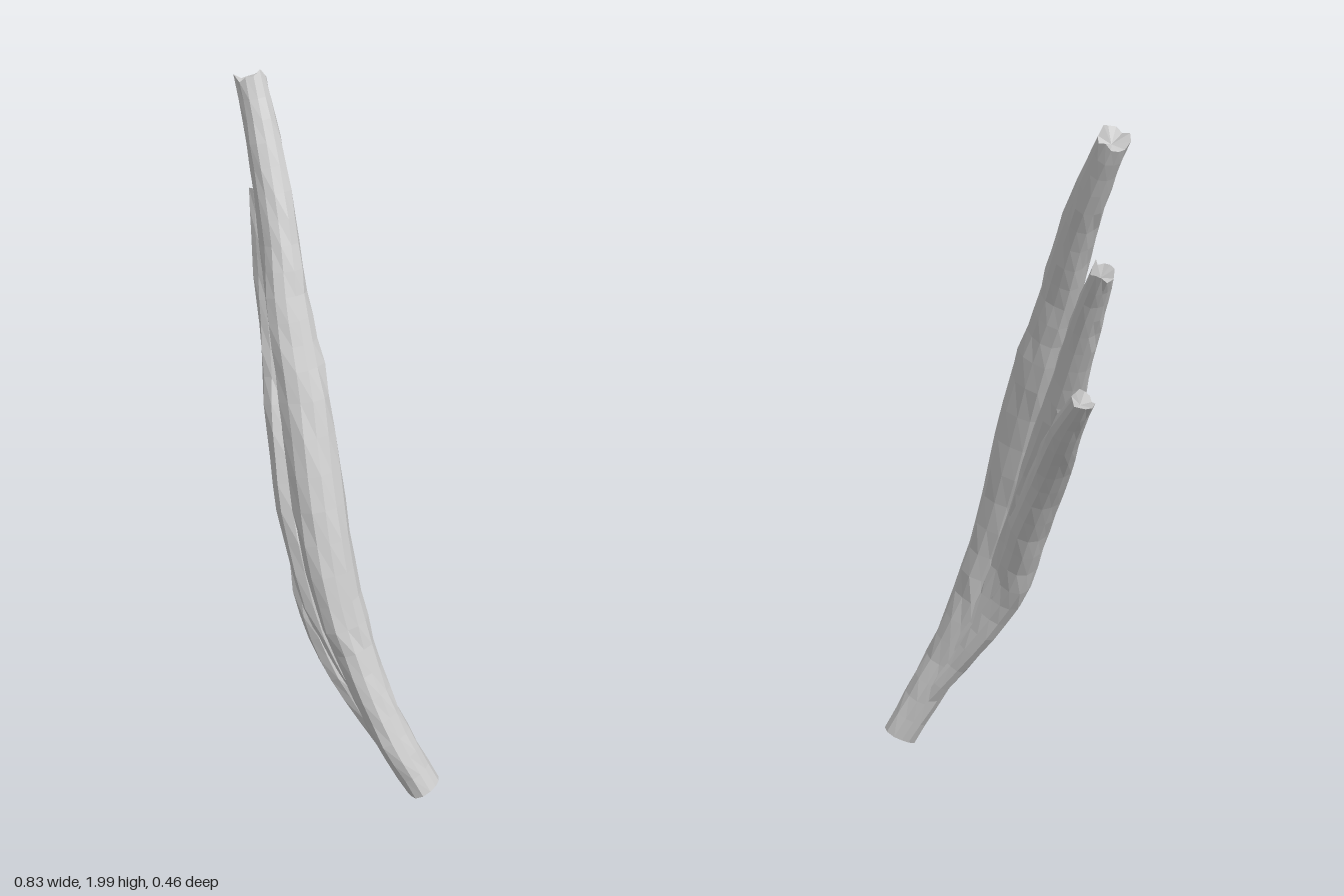
import * as THREE from 'three';

// Small repeatable hash in the range -1..1
const hash = (a, b, c) => {
  const s = Math.sin(a * 127.1 + b * 311.7 + c * 74.7) * 43758.5453;
  return (s - Math.floor(s)) * 2 - 1;
};

// Each limb: rows of [x, y, z, radius] from root to tip
const LIMBS = {
  mainStem: [
    [0.372, 0.033, 0.130, 0.045], [0.285, 0.2, 0.160, 0.051], [0.19, 0.4, 0.167, 0.058],
    [0.105, 0.62, 0.160, 0.067], [0.02, 0.9, 0.120, 0.073], [-0.07, 1.2, 0.052, 0.068],
    [-0.143, 1.4, 0.007, 0.058], [-0.212, 1.6, -0.055, 0.052], [-0.295, 1.8, -0.117, 0.050],
    [-0.372, 1.965, -0.166, 0.043],
  ],
  middleProng: [
    [0.27, 0.22, 0.162, 0.040], [0.09, 0.5, 0.158, 0.055], [-0.035, 0.78, 0.103, 0.062],
    [-0.12, 1.0, 0.035, 0.060], [-0.2, 1.22, -0.040, 0.050], [-0.275, 1.42, -0.112, 0.044],
    [-0.346, 1.58, -0.182, 0.034],
  ],
  lowerProng: [
    [0.31, 0.14, 0.152, 0.038], [0.17, 0.33, 0.163, 0.050], [0.06, 0.5, 0.152, 0.056],
    [-0.02, 0.70, 0.096, 0.058], [-0.118, 0.9, 0.005, 0.054], [-0.205, 1.07, -0.105, 0.046],
    [-0.292, 1.205, -0.196, 0.033],
  ],
};

const SIDES = 12;

// Sweep a knotty, ridged section along a limb, with torn hollow ends
function limbGeometry(rows, seed, rings) {
  const curve = new THREE.CatmullRomCurve3(rows.map((r) => new THREE.Vector3(r[0], r[1], r[2])));
  const positions = [];
  const index = [];
  const front = new THREE.Vector3(0, 0, 1);
  const last = rows.length - 1;

  for (let i = 0; i <= rings; i++) {
    const t = i / rings;
    const p = curve.getPoint(t);
    const dir = curve.getTangent(t).normalize();
    const u = new THREE.Vector3().crossVectors(dir, front).normalize();
    const v = new THREE.Vector3().crossVectors(u, dir).normalize();
    const k = Math.min(Math.floor(t * last), last - 1);
    const radius = THREE.MathUtils.lerp(rows[k][3], rows[k + 1][3], t * last - k);
    for (let j = 0; j < SIDES; j++) {
      // long bark ridges that wind slowly, plus small knots
      const a = (j / SIDES) * Math.PI * 2 + t * 0.9;
      const ridge = 0.06 * hash(j, Math.floor(i / 4), seed) + 0.045 * hash(j, i, seed + 3);
      const r = radius * (1 + ridge + 0.05 * Math.sin(3 * a + seed + t * 5));
      const q = p.clone().addScaledVector(u, -Math.cos(a) * r).addScaledVector(v, Math.sin(a) * r);
      // ragged rim at the tip
      if (i === rings) q.addScaledVector(dir, 0.016 * hash(j, seed, 9) + (j === 4 ? 0.012 : 0));
      positions.push(q.x, Math.max(q.y, 0), q.z);
    }
  }
  for (let i = 0; i < rings; i++) {
    for (let j = 0; j < SIDES; j++) {
      const a = i * SIDES + j;
      const b = i * SIDES + ((j + 1) % SIDES);
      index.push(a, b, a + SIDES, b, b + SIDES, a + SIDES);
    }
  }
  // sunken caps at both ends
  [[0, 0.022], [1, -0.025]].forEach(([t, sink]) => {
    const c = curve.getPoint(t).addScaledVector(curve.getTangent(t).normalize(), sink);
    const centre = positions.length / 3;
    positions.push(c.x, c.y, c.z);
    const base = t * rings * SIDES;
    for (let j = 0; j < SIDES; j++) {
      const a = base + j;
      const b = base + ((j + 1) % SIDES);
      if (t) index.push(a, b, centre);
      else index.push(b, a, centre);
    }
  });
  const geometry = new THREE.BufferGeometry();
  geometry.setAttribute('position', new THREE.Float32BufferAttribute(positions, 3));
  geometry.setIndex(index);
  geometry.computeVertexNormals();
  return geometry;
}

export function createModel() {
  const wood = new THREE.MeshStandardMaterial({
    name: 'pale grey wood', color: 0xcccccc, flatShading: true, side: THREE.DoubleSide,
  });
  const group = new THREE.Group();
  group.name = 'forkedBranch';
  Object.entries(LIMBS).forEach(([name, rows], n) => {
    const mesh = new THREE.Mesh(limbGeometry(rows, n + 1, n ? 20 : 28), wood);
    mesh.name = name;
    group.add(mesh);
  });
  return group;
}
